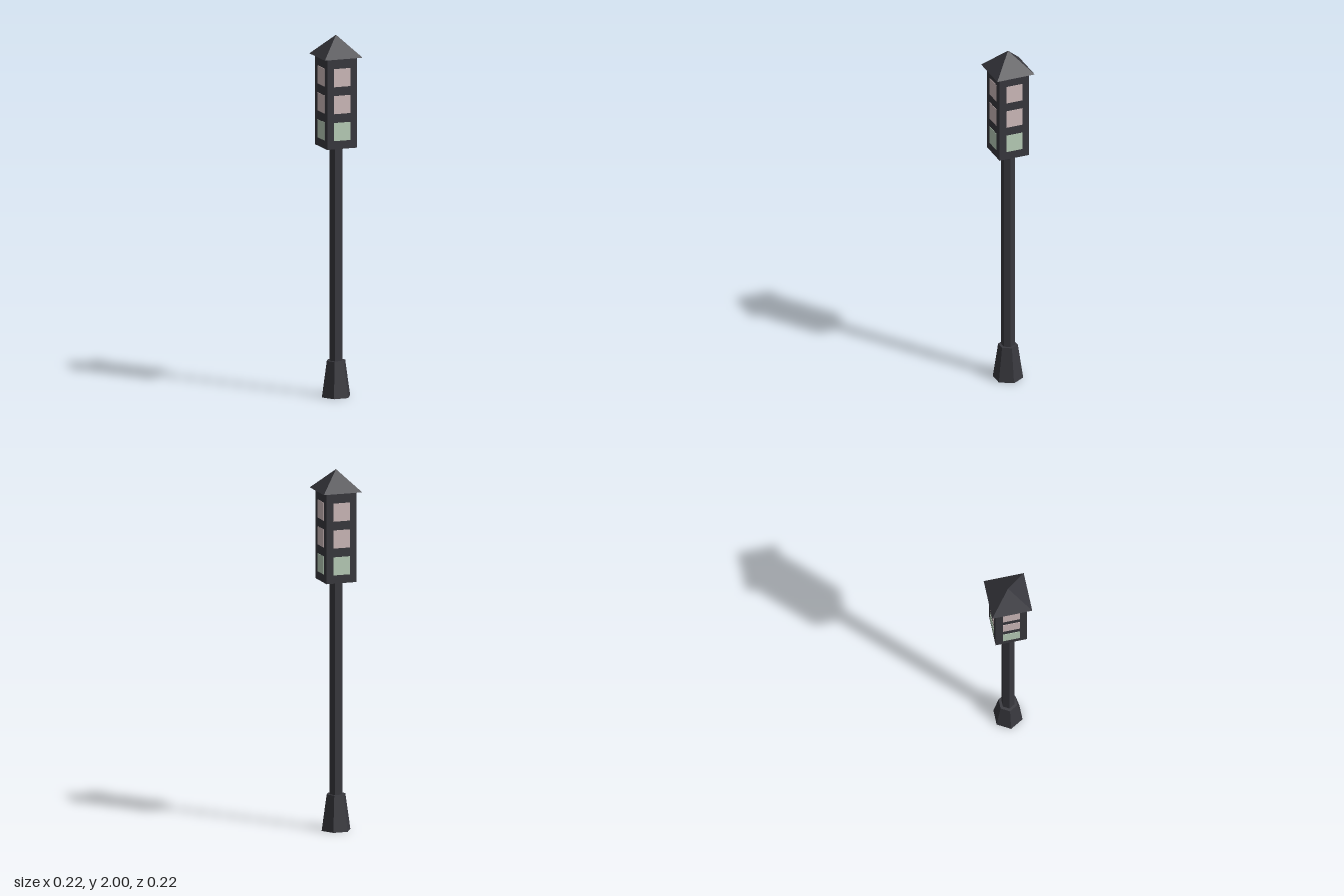
import * as THREE from 'three';

export function createModel() {
  const model = new THREE.Group();
  model.name = 'signalPost';

  const mat = (name, color) => {
    const m = new THREE.MeshStandardMaterial({ color, flatShading: true });
    m.name = name;
    return m;
  };
  const iron = mat('dark iron', 0x39393f);
  const pink = mat('pale pink glass', 0xd2bebe);
  const green = mat('pale green glass', 0xbcd2bc);

  const add = (name, geometry, material, parent = model) => {
    const mesh = new THREE.Mesh(geometry, material);
    mesh.name = name;
    parent.add(mesh);
    return mesh;
  };

  // Upright prism or frustum between two heights
  const column = (name, rTop, rBottom, y0, y1, sides) => {
    const g = new THREE.CylinderGeometry(rTop, rBottom, y1 - y0, sides);
    g.rotateY(Math.PI / sides); // a flat side faces the front
    g.translate(0, (y0 + y1) / 2, 0);
    return add(name, g, iron);
  };

  // Hexagonal foot and pole
  column('foot', 0.054, 0.083, 0, 0.2, 6);
  column('pole', 0.037, 0.037, 0.2, 1.385, 6);

  // Square lamp housing with a pyramid roof
  const half = 0.087;
  add('housing', new THREE.BoxGeometry(2 * half, 0.5, 2 * half), iron).position.y = 1.635;
  const roof = new THREE.ConeGeometry(0.111 * Math.SQRT2, 0.115, 4);
  roof.rotateY(Math.PI / 4);
  add('roof', roof, iron).position.y = 1.9425;

  // Three window panes on each of the four sides
  const pane = new THREE.BoxGeometry(0.094, 0.1, 0.004);
  const rows = [
    ['lowerPane', 1.481, green],
    ['middlePane', 1.63, pink],
    ['upperPane', 1.779, pink],
  ];
  for (let side = 0; side < 4; side++) {
    const windows = new THREE.Group();
    windows.name = 'windows' + ['Front', 'Left', 'Back', 'Right'][side];
    windows.rotation.y = side * Math.PI / 2;
    for (const [name, y, material] of rows) {
      add(name, pane, material, windows).position.set(0, y, half);
    }
    model.add(windows);
  }

  return model;
}
